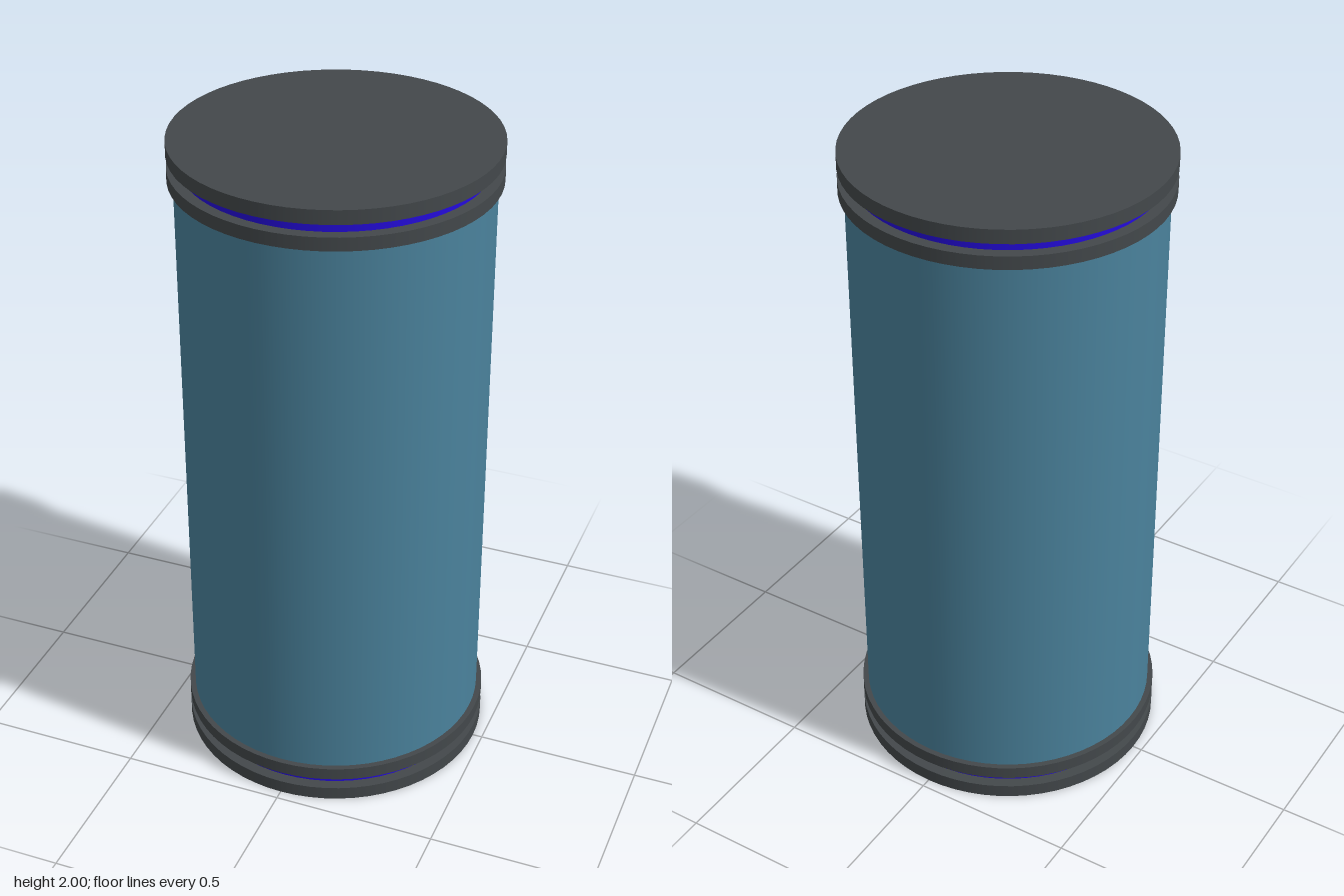
import * as THREE from 'three';

export function createModel() {
  const model = new THREE.Group();
  model.name = 'canister';

  const material = (name, color) => {
    const m = new THREE.MeshStandardMaterial({ color });
    m.name = name;
    return m;
  };
  const teal = material('teal body', 0x4a829c);
  const charcoal = material('charcoal metal', 0x43484b);
  const blue = material('glowing blue', 0x240bdc);

  // Upright round part between two heights
  const disc = (name, radius, bottom, top, mat, parent) => {
    const geometry = new THREE.CylinderGeometry(radius, radius, top - bottom, 64);
    const mesh = new THREE.Mesh(geometry, mat);
    mesh.name = name;
    mesh.position.y = (bottom + top) / 2;
    parent.add(mesh);
  };

  // Main tube
  disc('body', 0.453, 0.1, 1.9, teal, model);

  // Matching end caps: two plates with a recessed blue band between them
  for (const end of ['bottom', 'top']) {
    const cap = new THREE.Group();
    cap.name = end + 'Cap';
    const part = (name, radius, from, to, mat) =>
      end === 'top'
        ? disc(name, radius, 2 - to, 2 - from, mat, cap)
        : disc(name, radius, from, to, mat, cap);
    part('outerPlate', 0.47, 0, 0.042, charcoal);
    part('lightBand', 0.437, 0.04, 0.08, blue);
    part('innerPlate', 0.47, 0.078, 0.118, charcoal);
    model.add(cap);
  }

  return model;
}
